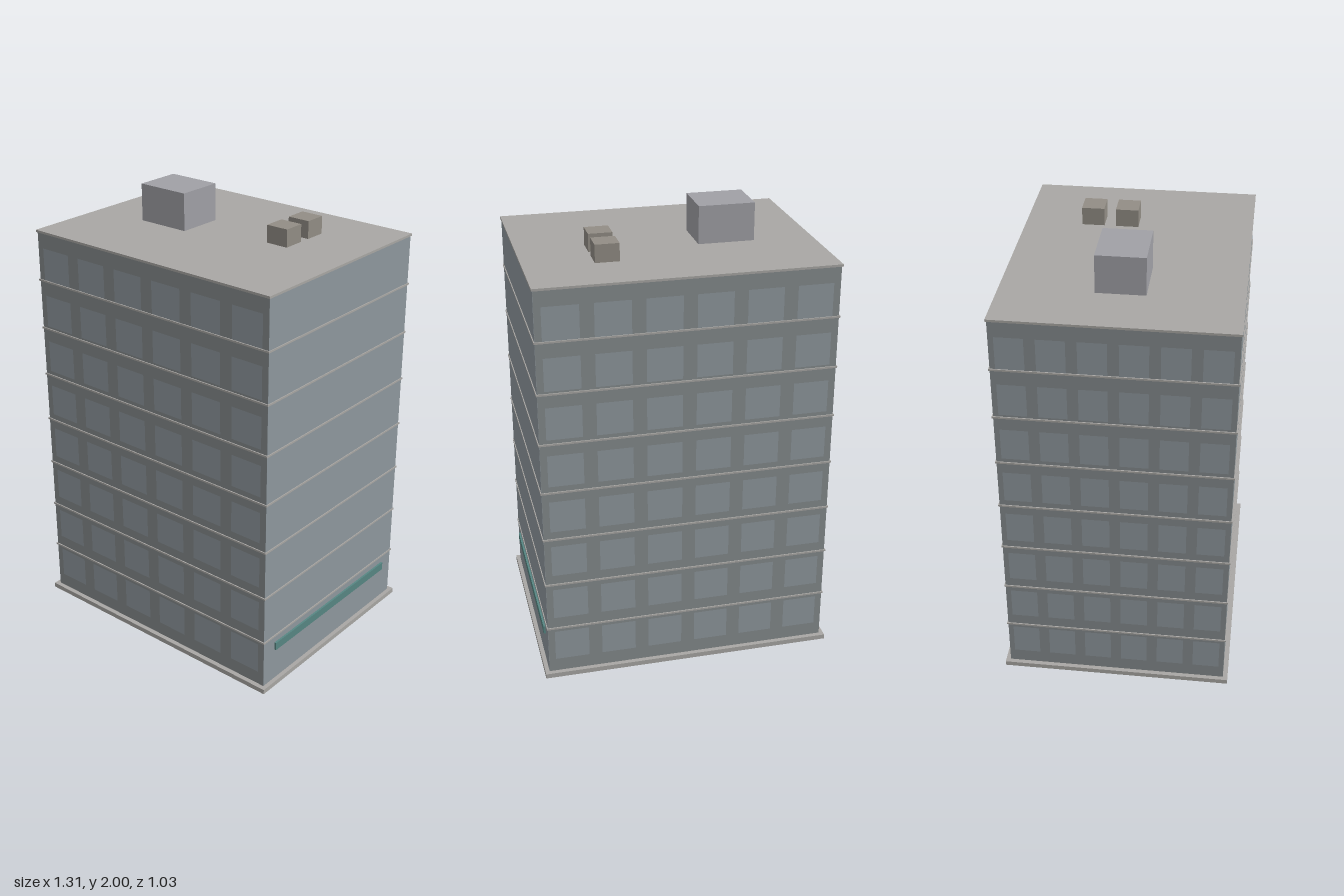
import * as THREE from 'three';

const W = 1.27, D = 0.984, BASE = 0.022, ROOF = 1.832, FLOORS = 8;
const PITCH = (ROOF - BASE) / FLOORS;

const mat = (color) => new THREE.MeshStandardMaterial({ color });
const wall = mat(0x858b8d), glass = mat(0x8f989e), concrete = mat(0xa9a7a4);
const plant = mat(0xa0a0a6), vent = mat(0x928d85), teal = mat(0x578683);

export function createModel() {
  const group = new THREE.Group();

  function box(name, material, w, h, d, x, y, z) {
    const mesh = new THREE.Mesh(new THREE.BoxGeometry(w, h, d), material);
    mesh.name = name;
    mesh.position.set(x, y + h / 2, z); // y is the underside
    group.add(mesh);
  }

  // Plinth and tower body
  box('plinth', concrete, 1.31, BASE, 1.026, 0, 0, 0);
  box('tower', wall, W, ROOF - BASE, D, 0, BASE, 0);

  // Thin ledges between floors, and the roof slab
  for (let i = 1; i < FLOORS; i++) {
    box('floorLedge', concrete, W + 0.01, 0.008, D + 0.01, 0, BASE + i * PITCH - 0.004, 0);
  }
  box('roofSlab', concrete, W + 0.01, 0.01, D + 0.01, 0, ROOF - 0.008, 0);

  // Flush window grid on one facade, facing +z before it is turned
  function facade(name, width, depth, angle) {
    const side = new THREE.Group();
    side.name = name;
    const step = width / 6;
    const pane = new THREE.PlaneGeometry(step * 0.72, 0.145);
    for (let row = 0; row < FLOORS; row++) {
      for (let col = 0; col < 6; col++) {
        const mesh = new THREE.Mesh(pane, glass);
        mesh.name = 'window';
        mesh.position.set((col - 2.5) * step, 0.157 + row * 0.218, depth / 2 + 0.001);
        side.add(mesh);
      }
    }
    side.rotation.y = angle;
    group.add(side);
  }
  facade('frontWindows', W, D, 0);
  facade('backWindows', W, D, Math.PI);
  facade('sideWindows', D, W, -Math.PI / 2);

  // Plain side wall with the long strip above the ground floor
  box('plainSideWall', glass, 0.002, ROOF - BASE - 0.01, D, W / 2, BASE, 0);
  box('sideStrip', teal, 0.014, 0.037, 0.836, 0.638, 0.175, 0);

  // Rooftop equipment
  box('roofHouse', plant, 0.246, 2 - ROOF, 0.208, -0.255, ROOF, -0.002);
  for (const z of [-0.05, -0.199]) {
    box('roofVent', vent, 0.104, 0.08, 0.098, 0.29, ROOF, z);
  }
  return group;
}
